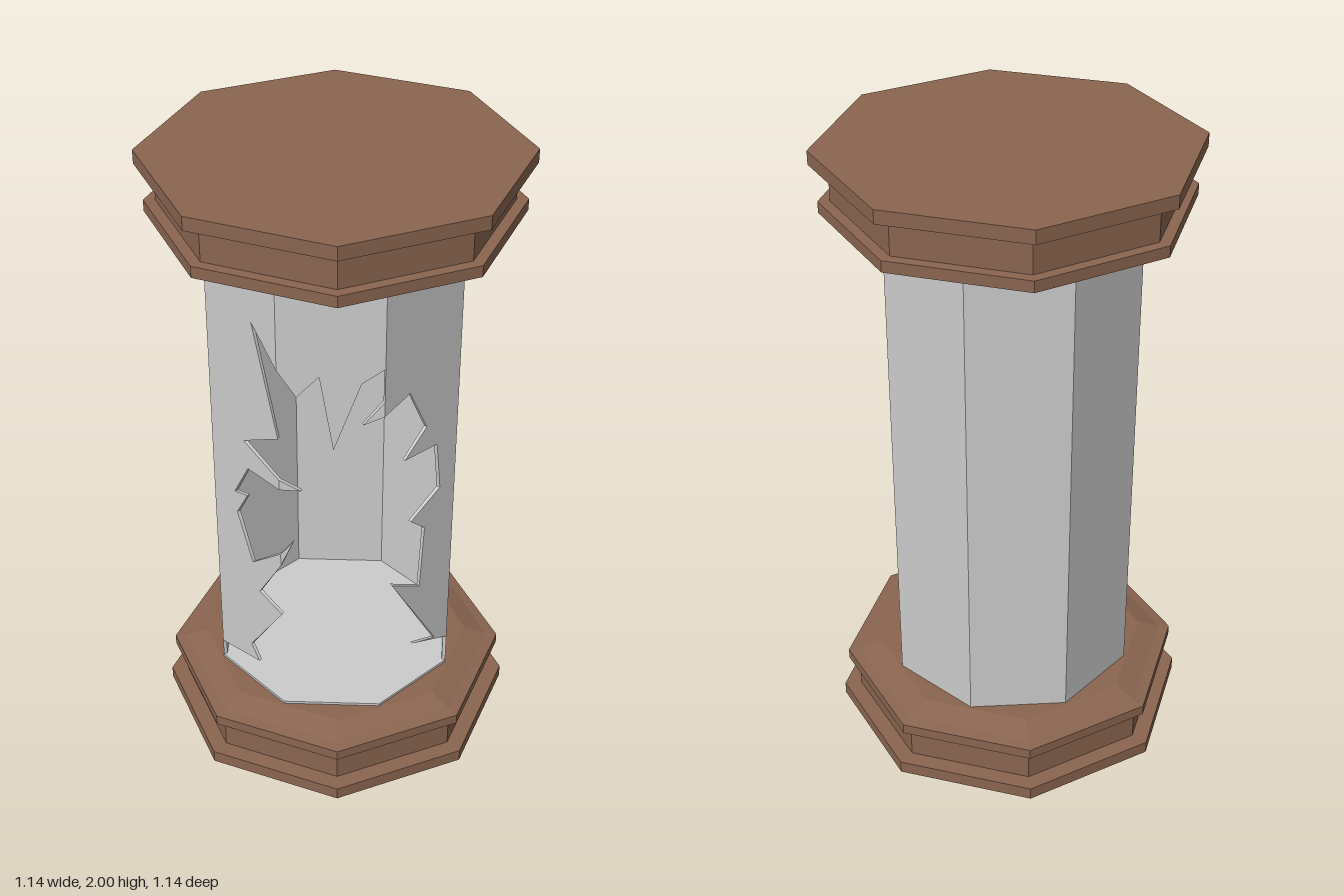
import * as THREE from 'three';

const wood = new THREE.MeshStandardMaterial({ color: 0x8a6550, flatShading: true });
const glass = new THREE.MeshStandardMaterial({ color: 0xcccccc, flatShading: true });

const R = 0.4;                 // corner radius of the glass
const INNER = 0.97;            // inner surface as a share of the outer one
const LOW = 0.215, HIGH = 1.775;

// Corner k of the slightly turned glass octagon; corner 0 is front right-hand of the viewer's left
const corner = (k) => {
  const a = THREE.MathUtils.degToRad(-25.1 + 45 * k);
  return new THREE.Vector2(R * Math.sin(a), R * Math.cos(a));
};

// One flat pane between corners k and k+1, outlined in (share of width, height)
function pane(k, outline) {
  const a = corner(k), b = corner(k + 1);
  const shape = new THREE.Shape(outline.map(([u, y]) => new THREE.Vector2(u, y)));
  const geo = new THREE.ExtrudeGeometry(shape, { depth: 1, bevelEnabled: false });
  const p = geo.attributes.position;
  for (let i = 0; i < p.count; i++) {
    const u = p.getX(i);
    const s = THREE.MathUtils.lerp(INNER, 1, p.getZ(i));
    p.setXYZ(i, s * (a.x + (b.x - a.x) * u), p.getY(i), s * (a.y + (b.y - a.y) * u));
  }
  geo.computeVertexNormals();
  return new THREE.Mesh(geo, glass);
}

// Same, with the outline given in (x, height) as seen from the front
function brokenPane(k, outline) {
  const x0 = corner(k).x, x1 = corner(k + 1).x;
  return pane(k, outline.map(([x, y]) => [THREE.MathUtils.clamp((x - x0) / (x1 - x0), 0, 1), y]));
}

// Stepped octagonal wooden plinth, standing on y = 0
function plinth() {
  const profile = [
    [0, 0], [0.57, 0], [0.57, 0.042], [0.515, 0.042], [0.515, 0.155],
    [0.55, 0.155], [0.55, 0.19], [0.515, 0.195], [0.44, 0.22], [0, 0.22],
  ].map(([x, y]) => new THREE.Vector2(x, y));
  const geo = new THREE.LatheGeometry(profile, 8);
  return new THREE.Mesh(geo, wood);
}

export function createModel() {
  const model = new THREE.Group();
  model.name = 'brokenGlassCase';

  // Base and its mirrored copy on top
  const base = plinth();
  base.name = 'woodenBase';
  const cap = plinth();
  cap.name = 'woodenCap';
  cap.rotation.x = Math.PI;
  cap.position.y = 2;
  model.add(base, cap);

  const tube = new THREE.Group();
  tube.name = 'glassTube';

  // Whole panes at the sides and back
  for (let k = 2; k < 7; k++) {
    const m = pane(k, [[0, LOW], [1, LOW], [1, HIGH], [0, HIGH]]);
    m.name = 'wholePane';
    tube.add(m);
  }

  // Jagged remains of the three front panes
  const L = corner(-1).x, A = corner(0).x, B = corner(1).x, E = corner(2).x;
  const pieces = [
    [-1, [[L, HIGH], [A, HIGH], [A, 1.498], [-0.24, 1.61], [A, 1.265], [-0.275, 1.18],
      [A, 1.118], [A, 1.083], [-0.265, 1.085], [-0.31, 0.965], [-0.27, 0.98], [-0.305, 0.89],
      [-0.26, 0.73], [A, 0.841], [A, 0.795], [-0.24, 0.63], [A, 0.6], [-0.275, 0.375],
      [-0.25, 0.325], [L, 0.29]]],
    [0, [[A, HIGH], [B, HIGH], [B, 1.51], [0.07, 1.46], [-0.01, 1.23], [-0.05, 1.48],
      [-0.115, 1.41], [A, 1.498]]],
    [0, [[B, 1.4], [0.075, 1.32], [B, 1.35]]],
    [0, [[A, 1.118], [-0.105, 1.08], [A, 1.083]]],
    [0, [[A, 0.841], [-0.13, 0.89], [A, 0.795]]],
    [1, [[B, HIGH], [E, HIGH], [E, 0.335], [0.245, 0.4], [0.32, 0.365], [0.17, 0.7],
      [0.26, 0.63], [0.27, 0.855], [0.225, 0.91], [0.315, 0.98], [0.3, 1.15], [0.2, 1.155],
      [0.265, 1.235], [0.21, 1.385], [B, 1.35]]],
  ];
  for (const [k, outline] of pieces) {
    const m = brokenPane(k, outline);
    m.name = 'brokenPane';
    tube.add(m);
  }

  // Glass plates closing the tube at both ends
  for (const [name, y] of [['glassFloor', 0.222], ['glassCeiling', 1.778]]) {
    const geo = new THREE.CylinderGeometry(R, R, 0.014, 8);
    geo.rotateY(THREE.MathUtils.degToRad(-25.1));
    const plate = new THREE.Mesh(geo, glass);
    plate.name = name;
    plate.position.y = y;
    tube.add(plate);
  }
  model.add(tube);
  return model;
}
